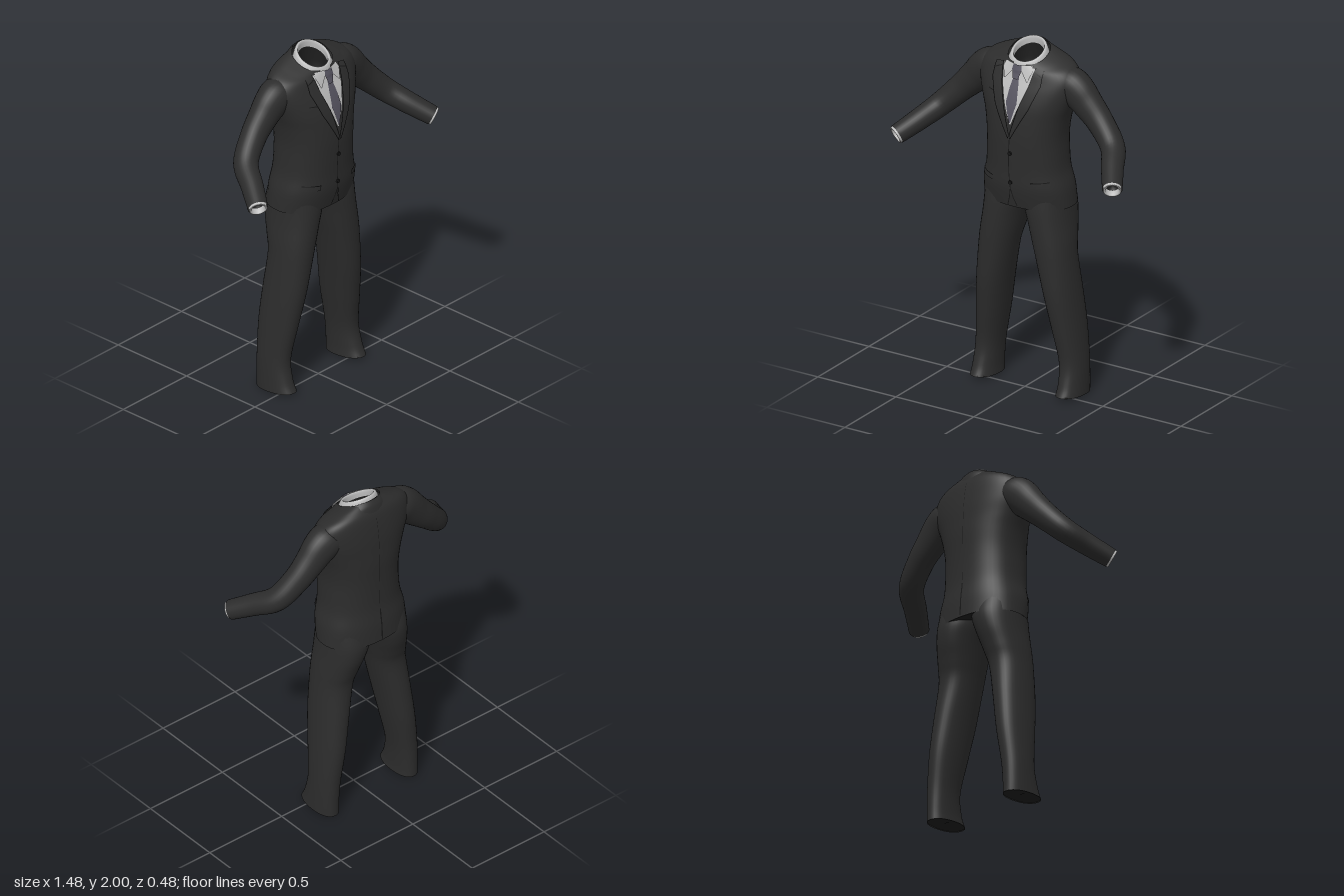
import * as THREE from 'three';

const mat = (name, color) => {
  const m = new THREE.MeshStandardMaterial({ color, side: THREE.DoubleSide });
  m.name = name;
  return m;
};
const V = (x, y, z) => new THREE.Vector3(x, y, z);

// Skin a list of equal-length rows of points with smooth normals.
function skin(rows, closed) {
  const n = rows[0].length, pos = [], idx = [];
  rows.forEach(r => r.forEach(p => pos.push(p.x, p.y, p.z)));
  for (let j = 0; j < rows.length - 1; j++) {
    for (let i = 0; i < (closed ? n : n - 1); i++) {
      const k = (i + 1) % n, a = j * n + i, b = j * n + k, c = a + n, d = b + n;
      idx.push(a, c, b, b, c, d);
    }
  }
  const g = new THREE.BufferGeometry();
  g.setAttribute('position', new THREE.Float32BufferAttribute(pos, 3));
  g.setIndex(idx);
  g.computeVertexNormals();
  return g;
}

// Catmull-Rom blend of whole section rows.
function refine(secs, sub) {
  const out = [], at = i => secs[Math.max(0, Math.min(secs.length - 1, i))];
  for (let i = 0; i < secs.length - 1; i++) {
    for (let s = 0; s < sub; s++) {
      const t = s / sub;
      out.push(secs[i].map((p, k) => {
        const a = at(i - 1)[k], b = at(i + 1)[k], c = at(i + 2)[k];
        return p + 0.5 * t * (b - a + t * (2 * a - 5 * p + 4 * b - c + t * (3 * (p - b) + c - a)));
      }));
    }
  }
  out.push(secs[secs.length - 1]);
  return out;
}

// Stacked rounded sections: [front y, back y, centre x, half width, front z, back z].
function loft(secs, { n = 2.3, seg = 48, sub = 5, a0 = 0, a1 = Math.PI * 2 } = {}) {
  const closed = a1 - a0 > 6.28;
  const pw = v => Math.sign(v) * Math.abs(v) ** (2 / n);
  return skin(refine(secs, sub).map(([yf, yb, cx, hx, zf, zb]) =>
    Array.from({ length: closed ? seg : seg + 1 }, (_, i) => {
      const a = a0 + (a1 - a0) * i / seg, s = pw(Math.sin(a));
      return V(cx + hx * pw(Math.cos(a)), yf + (yb - yf) * (1 - s) / 2, (zf + zb) / 2 + s * (zf - zb) / 2);
    })), closed);
}

// Ring of points around an axis, with separate radii across and along z.
function ring(c, t, rv, rz, seg = 28) {
  const u = V(0, 0, 1).addScaledVector(t, -t.z).normalize(), w = u.clone().cross(t);
  return Array.from({ length: seg }, (_, i) => {
    const a = i / seg * Math.PI * 2;
    return c.clone().addScaledVector(u, rz * Math.cos(a)).addScaledVector(w, rv * Math.sin(a));
  });
}

export function createModel() {
  const model = new THREE.Group();
  model.name = 'suit';
  const cloth = mat('charcoalCloth', 0x2c2c2c), seamMat = mat('darkSeam', 0x161616);
  const lining = mat('blackLining', 0x1d1d1d), white = mat('shirtGrey', 0xbcbcbc);
  const tieMat = mat('tieSlate', 0x55535f);
  const add = (name, geo, m) => {
    const mesh = new THREE.Mesh(geo, m);
    mesh.name = name;
    model.add(mesh);
    return mesh;
  };

  // Jacket body from hem to neck
  const body = add('jacketBody', loft([
    [1.09, 1.095, 0, 0.266, 0.115, -0.24],
    [1.2, 1.2, 0, 0.258, 0.138, -0.235],
    [1.3, 1.3, 0, 0.235, 0.142, -0.222],
    [1.4, 1.4, 0, 0.228, 0.146, -0.218],
    [1.5, 1.5, 0, 0.228, 0.148, -0.218],
    [1.6, 1.6, 0, 0.243, 0.142, -0.22],
    [1.68, 1.68, 0, 0.268, 0.13, -0.217],
    [1.76, 1.77, 0, 0.295, 0.105, -0.212],
    [1.82, 1.86, 0, 0.3, 0.08, -0.2],
    [1.86, 1.92, 0, 0.265, 0.065, -0.185],
    [1.88, 1.96, 0, 0.19, 0.058, -0.16],
    [1.9, 1.985, 0, 0.115, 0.052, -0.14],
  ]), cloth);
  add('jacketHemLining', loft([
    [1.1, 1.1, 0, 0.262, 0.112, -0.235], [1.12, 1.12, 0, 0.005, -0.05, -0.06],
  ], { sub: 1 }), lining);
  add('jacketCollar', loft([
    [1.84, 1.925, 0, 0.185, 0.075, -0.182],
    [1.87, 1.965, 0, 0.15, 0.07, -0.17],
    [1.89, 1.99, 0, 0.12, 0.06, -0.148],
  ], { n: 2, a0: Math.PI - 0.35, a1: Math.PI * 2 + 0.35 }), cloth);

  // Shirt collar and dark neck opening
  const neck = add('shirtCollar', loft([
    [1.86, 1.955, 0, 0.118, 0.068, -0.143],
    [1.885, 1.98, 0, 0.108, 0.06, -0.138],
    [1.91, 2.0, 0, 0.097, 0.05, -0.13],
    [1.908, 1.998, 0, 0.084, 0.038, -0.117],
    [1.87, 1.96, 0, 0.084, 0.038, -0.117],
  ], { n: 2, sub: 3 }), white);
  add('neckLining', loft([
    [1.7, 1.72, 0, 0.004, -0.03, -0.04],
    [1.75, 1.78, 0, 0.085, 0.035, -0.115],
    [1.885, 1.975, 0, 0.086, 0.039, -0.118],
  ], { n: 2, sub: 2 }), lining);

  // Details laid onto the cloth between two edges of [x, y] points
  const caster = new THREE.Raycaster();
  const press = (x, y, off, side) => {
    caster.set(V(x, y, 3 * side), V(0, 0, -side));
    const hit = caster.intersectObjects([body, neck])[0];
    return V(x, y, (hit ? hit.point.z : 0) + off * side);
  };
  const drape = (name, left, right, off, m, side = 1, cols = 6) => {
    const rows = [];
    for (let i = 0; i < left.length - 1; i++) {
      for (let s = i ? 1 : 0; s <= 6; s++) {
        const mix = e => [0, 1].map(k => e[i][k] + (e[i + 1][k] - e[i][k]) * s / 6);
        const a = mix(left), b = mix(right);
        rows.push(Array.from({ length: cols + 1 }, (_, c) =>
          press(a[0] + (b[0] - a[0]) * c / cols, a[1] + (b[1] - a[1]) * c / cols, off, side)));
      }
    }
    return add(name, skin(rows, false), m);
  };
  const seam = (name, pts, off = 0.004, side = 1, w = 0.0025) => {
    const shift = d => pts.map(([x, y], i) => {
      const p = pts[Math.max(0, i - 1)], q = pts[Math.min(pts.length - 1, i + 1)];
      const l = Math.hypot(q[0] - p[0], q[1] - p[1]);
      return [x - d * (q[1] - p[1]) / l, y + d * (q[0] - p[0]) / l];
    });
    drape(name, shift(w), shift(-w), off, seamMat, side, 1);
  };
  const flip = (pts, s) => pts.map(([x, y]) => [x * s, y]);

  // Shirt front and tie
  const vee = [[0.098, 1.89], [0.082, 1.8], [0.045, 1.69], [0.004, 1.58]];
  drape('shirtFront', flip(vee, -1), vee, 0.004, white);
  const blade = [[0.014, 1.85], [0.026, 1.78], [0.034, 1.7], [0.004, 1.59]];
  drape('tieBlade', flip(blade, -1), blade, 0.01, tieMat);
  const knot = [[0.026, 1.9], [0.03, 1.875], [0.015, 1.825]];
  drape('tieKnot', flip(knot, -1), knot, 0.018, tieMat);

  const lapelIn = [[0.104, 1.895], [0.086, 1.8], [0.05, 1.69], [0.002, 1.52]];
  const lapelOut = [[0.15, 1.885], [0.152, 1.81], [0.105, 1.68], [0.006, 1.5]];
  // Arm stations: x, y, z, radius across, radius along z
  const armSecs = refine([
    [0.2, 1.8, -0.07, 0.08, 0.09], [0.25, 1.795, -0.07, 0.1, 0.093],
    [0.3, 1.762, -0.07, 0.1, 0.087], [0.36, 1.703, -0.07, 0.088, 0.078],
    [0.445, 1.62, -0.062, 0.075, 0.071], [0.55, 1.515, -0.02, 0.066, 0.069],
    [0.62, 1.445, 0.09, 0.06, 0.062], [0.69, 1.38, 0.198, 0.054, 0.056],
  ], 5);

  for (const s of [1, -1]) {
    const label = s > 0 ? 'left' : 'right';

    // Shirt collar points and lapels
    drape(label + 'CollarPoint', flip([[0.008, 1.9], [0.03, 1.865], [0.068, 1.82]], s),
      flip([[0.085, 1.905], [0.094, 1.88], [0.074, 1.82]], s), 0.013, white);
    drape(label + 'Lapel', flip(lapelIn, s), flip(lapelOut, s), 0.009, cloth);
    seam(label + 'LapelInnerEdge', flip(lapelIn, s), 0.0105);
    seam(label + 'LapelOuterEdge', flip(lapelOut, s), 0.0105);
    seam(label + 'LapelNotch', flip([[0.104, 1.875], [0.15, 1.855]], s), 0.0115);

    // Pocket flap and cutaway edge
    drape(label + 'PocketFlap', flip([[0.12, 1.255], [0.12, 1.225]], s),
      flip([[0.21, 1.262], [0.21, 1.232]], s), 0.007, cloth);
    seam(label + 'PocketSeam', flip([[0.12, 1.255], [0.21, 1.262]], s), 0.009);
    seam(label + 'CutawayEdge', flip([[0.002, 1.2], [0.012, 1.15], [0.03, 1.1]], s));

    // Sleeve, shirt cuff and dark cuff opening
    const centres = armSecs.map(a => V(a[0] * s, a[1], a[2]));
    const tangent = i => centres[Math.min(i + 1, centres.length - 1)].clone()
      .sub(centres[Math.max(i - 1, 0)]).normalize();
    add(label + 'Sleeve', skin(armSecs.map((a, i) =>
      ring(centres[i], tangent(i), a[3], a[4])), true), cloth);
    const last = centres.length - 1, t = tangent(last);
    const cuff = list => skin(list.map(([d, r]) =>
      ring(centres[last].clone().addScaledVector(t, d), t, r, r)), true);
    add(label + 'ShirtCuff', cuff([[-0.02, 0.05], [0.01, 0.05], [0.012, 0.047], [0.01, 0.038], [-0.02, 0.036]]), white);
    add(label + 'CuffOpening', cuff([[0.002, 0.038], [-0.03, 0.036], [-0.035, 0.001]]), lining);

    // Trouser leg and hem
    const leg = ([yf, yb, inner, outer, zf, zb]) => [yf, yb, s * (inner + outer) / 2, (outer - inner) / 2, zf, zb];
    add(label + 'TrouserLeg', loft([
      [0.02, 0, 0.205, 0.342, 0.078, -0.18],
      [0.08, 0.07, 0.207, 0.34, 0.05, -0.18],
      [0.2, 0.2, 0.198, 0.335, 0.028, -0.182],
      [0.4, 0.4, 0.162, 0.32, 0.058, -0.19],
      [0.6, 0.6, 0.125, 0.302, 0.088, -0.18],
      [0.8, 0.8, 0.082, 0.283, 0.1, -0.166],
      [0.9, 0.9, 0.055, 0.274, 0.104, -0.188],
      [1.0, 1.0, 0.026, 0.262, 0.106, -0.218],
      [1.09, 1.09, -0.004, 0.255, 0.106, -0.228],
      [1.18, 1.18, -0.02, 0.25, 0.1, -0.21],
    ].map(leg), { seg: 36, n: 2.2 }), cloth);
    add(label + 'HemOpening', loft([
      [0.025, 0.006, 0.207, 0.34, 0.075, -0.178],
      [0.03, 0.02, 0.27, 0.275, -0.05, -0.055],
    ].map(leg), { seg: 36, sub: 1 }), lining);
  }

  // Front closure, breast pocket, back vent and buttons
  seam('frontClosure', [[0, 1.51], [-0.008, 1.4], [-0.008, 1.3], [0, 1.2]]);
  seam('breastPocket', [[-0.17, 1.74], [-0.1, 1.73]]);
  seam('backSeam', [[0, 1.9], [0, 1.6], [0, 1.3]], 0.002, -1, 0.001);
  seam('backVent', [[0, 1.3], [0, 1.2], [0, 1.105]], 0.004, -1, 0.004);
  for (const y of [1.41, 1.24]) {
    const button = add('frontButton', new THREE.CylinderGeometry(0.011, 0.011, 0.008, 16), seamMat);
    button.rotation.x = Math.PI / 2;
    button.position.copy(press(0, y, 0.004, 1));
  }
  return model;
}
